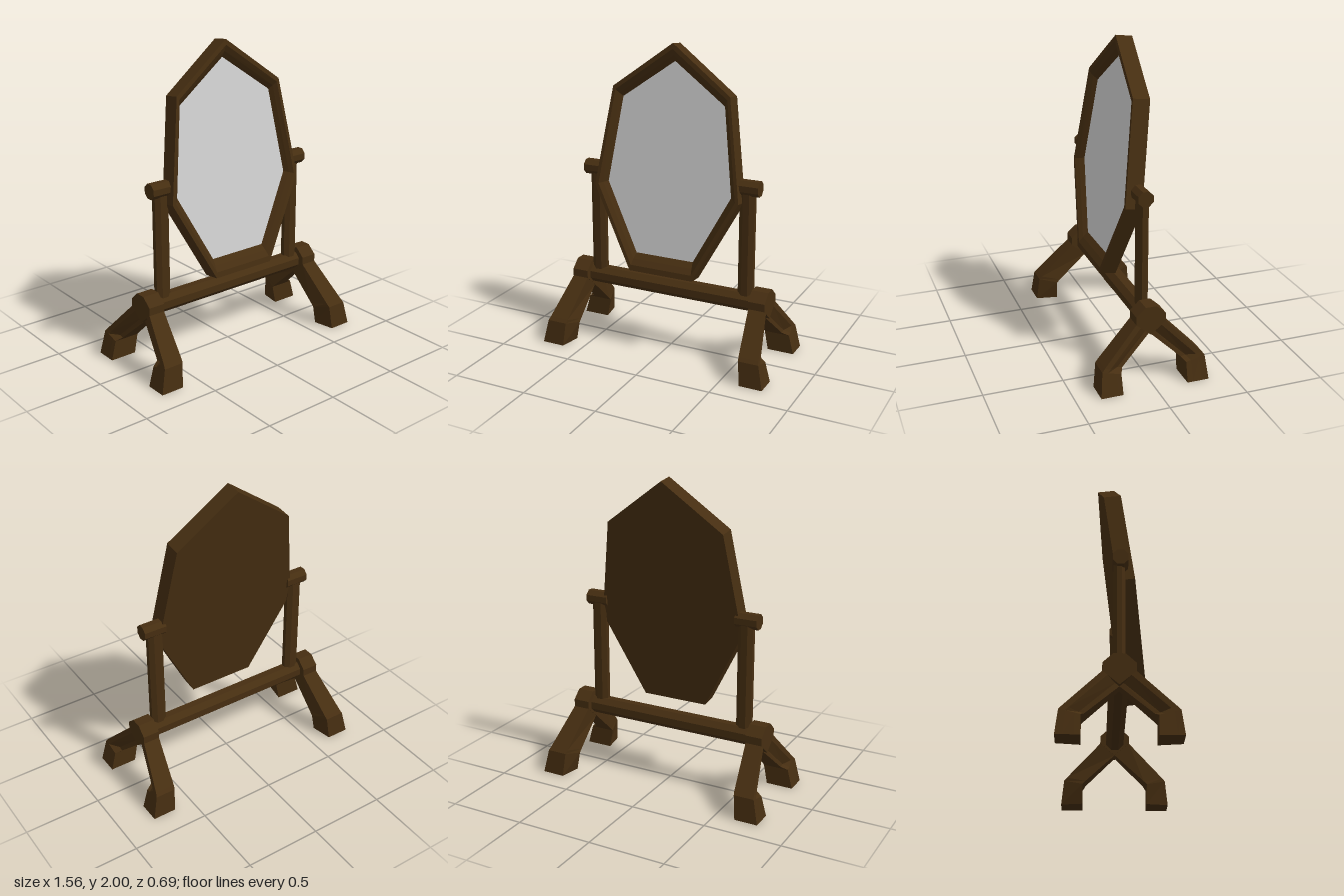
import * as THREE from 'three';

const wood = new THREE.MeshStandardMaterial({ name: 'dark wood', color: 0x462e11 });
const silver = new THREE.MeshStandardMaterial({ name: 'mirror glass', color: 0xd2d2d2 });

function add(parent, name, geometry, material = wood) {
  const mesh = new THREE.Mesh(geometry, material);
  mesh.name = name;
  parent.add(mesh);
  return mesh;
}

// Flat-faced skin over rings of [x, y, z] points, anticlockwise seen from the last ring
function loft(rings, capStart, capEnd) {
  const pos = [];
  const tri = (...pts) => pts.forEach((p) => pos.push(...p));
  const n = rings[0].length;
  const centre = (r) => [0, 1, 2].map((k) => r.reduce((s, p) => s + p[k], 0) / n);
  const first = rings[0], last = rings[rings.length - 1];
  for (let i = 0; i < n; i++) {
    const j = (i + 1) % n;
    for (let r = 0; r < rings.length - 1; r++) {
      const a = rings[r], b = rings[r + 1];
      tri(a[i], a[j], b[j]);
      tri(a[i], b[j], b[i]);
    }
    if (capStart) tri(centre(first), first[j], first[i]);
    if (capEnd) tri(centre(last), last[i], last[j]);
  }
  const g = new THREE.BufferGeometry();
  g.setAttribute('position', new THREE.Float32BufferAttribute(pos, 3));
  g.computeVertexNormals();
  return g;
}

// Eight-sided bar, given its half width across the flats
function octagonBar(halfWidth, length) {
  const g = new THREE.CylinderGeometry(halfWidth / Math.cos(Math.PI / 8), halfWidth / Math.cos(Math.PI / 8), length, 8);
  g.rotateY(Math.PI / 8);
  const flat = g.toNonIndexed();
  flat.computeVertexNormals();
  return flat;
}

// Tilting seven-sided mirror with a stepped moulding
function makeMirror() {
  const mirror = new THREE.Group();
  mirror.name = 'tiltingMirror';
  const outer = [[0, 1.467], [-0.4, 1.174], [-0.5, 0.53], [-0.22, 0], [0.22, 0], [0.5, 0.53], [0.4, 1.174]];
  const inner = [[0, 1.357], [-0.35, 1.11], [-0.43, 0.555], [-0.2, 0.112], [0.2, 0.112], [0.43, 0.555], [0.35, 1.11]];
  const ring = (t, z) => outer.map(([x, y], i) => [x + (inner[i][0] - x) * t, y + (inner[i][1] - y) * t, z]);
  const rings = [ring(0, -0.108), ring(0, 0), ring(0.33, 0), ring(0.67, -0.022), ring(1, -0.05)];
  add(mirror, 'mirrorFrame', loft(rings, true, false));
  const glass = new THREE.ShapeGeometry(new THREE.Shape(inner.map(([x, y]) => new THREE.Vector2(x, y))));
  add(mirror, 'mirrorGlass', glass, silver).position.z = -0.05;
  mirror.position.set(0, 0.545, 0.165);
  mirror.rotation.x = -0.126;
  return mirror;
}

// Splayed leg with a stepped outer side and a block foot
function makeLeg(sx, sz) {
  // upper [y, z], lower [y, z], outer x, inner x above, inner x below, step depth
  const stations = [
    [[0.4, 0.095], [0.32, 0], 0.688, 0.58, 0.58, 0.03],
    [[0.175, 0.312], [0.145, 0.19], 0.74, 0.61, 0.58, 0.035],
    [[0.155, 0.33], [0.125, 0.21], 0.747, 0.615, 0.58, 0],
    [[0, 0.347], [0, 0.208], 0.78, 0.63, 0.605, 0],
  ];
  const rings = stations.map(([up, low, out, inUp, inLow, step]) => {
    const at = (x, t) => [sx * x, up[0] + (low[0] - up[0]) * t, sz * (up[1] + (low[1] - up[1]) * t)];
    const pts = [at(out, 0), at(inUp, 0), at(inLow, 1), at(out - step, 1), at(out - step, 0.75), at(out, 0.3)];
    return sx * sz < 0 ? pts.reverse() : pts;
  });
  return loft(rings, true, true);
}

export function createModel() {
  const model = new THREE.Group();
  model.name = 'tiltingFloorMirror';
  model.add(makeMirror());

  // Lower rail between the two stands
  add(model, 'crossRail', octagonBar(0.057, 1.18).rotateZ(Math.PI / 2)).position.y = 0.413;

  const hubShape = new THREE.Shape([[-0.035, 0.505], [-0.095, 0.45], [-0.095, 0.4], [0, 0.32],
    [0.095, 0.4], [0.095, 0.45], [0.035, 0.505]].map(([z, y]) => new THREE.Vector2(z, y)));

  for (const s of [1, -1]) {
    const side = new THREE.Group();
    side.name = s > 0 ? 'leftStand' : 'rightStand';
    model.add(side);

    const post = add(side, 'upright', octagonBar(0.05, 0.76));
    post.position.set(s * 0.525, 0.78, 0.003);
    post.scale.z = 0.7;

    const pin = add(side, 'pivotPin', octagonBar(0.047, 0.15).rotateZ(Math.PI / 2));
    pin.position.set(s * 0.533, 1.16, 0.01);

    const hub = add(side, 'legHub', new THREE.ExtrudeGeometry(hubShape, { depth: 0.11, bevelEnabled: false }));
    hub.rotation.y = Math.PI / 2;
    hub.position.x = s > 0 ? 0.578 : -0.688;

    add(side, 'frontLeg', makeLeg(s, 1));
    add(side, 'backLeg', makeLeg(s, -1));
  }
  return model;
}
